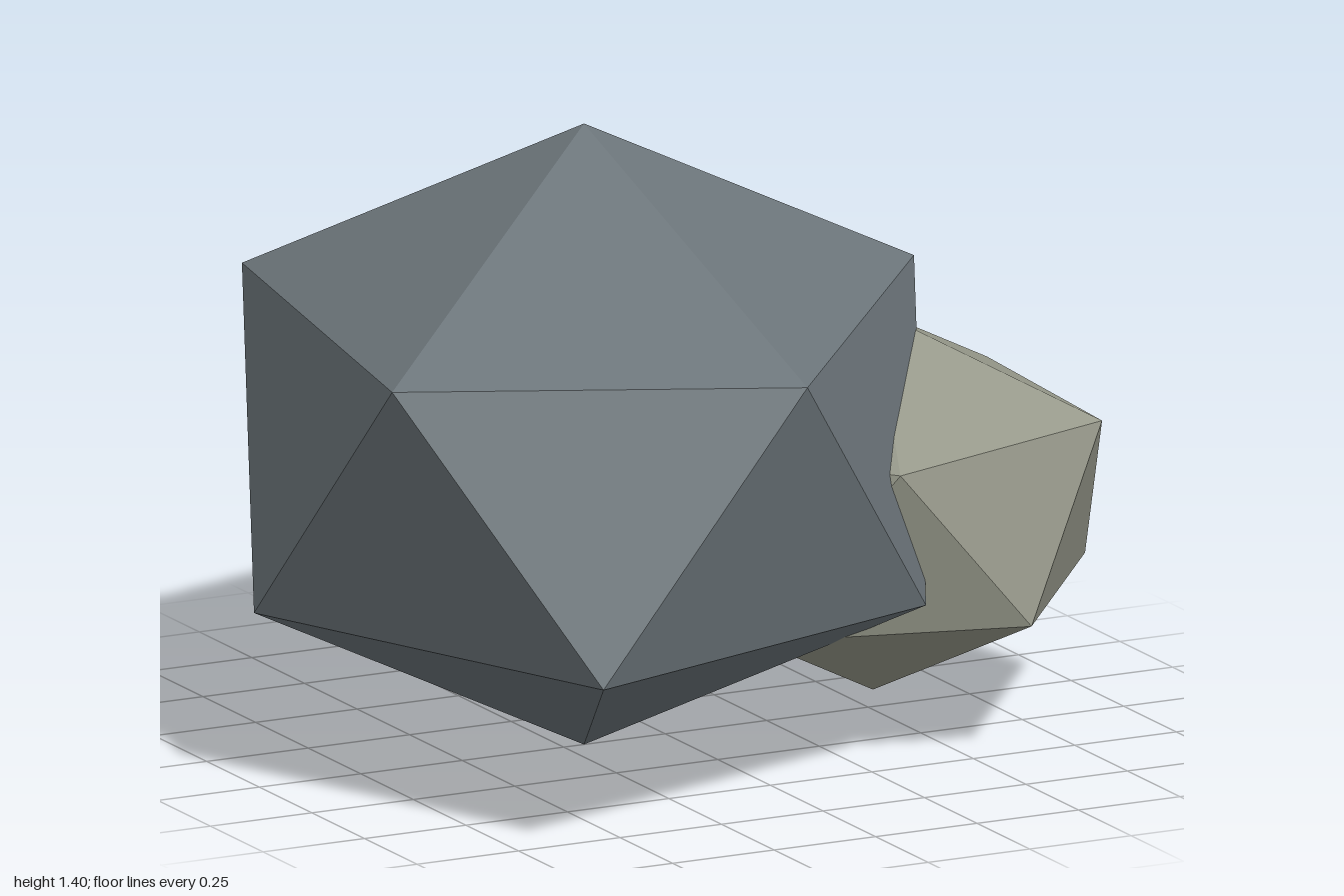
import * as THREE from 'three';

// Twenty-sided stone standing on one corner. The upper ring is a pentagon
// spanned by the horizontal axes u and v ([x, z]); the lower ring mirrors it
// through the centre.
function stone(name, centre, halfHeight, u, v, material) {
  const ringY = halfHeight / Math.sqrt(5);
  const upper = [], lower = [];
  for (let k = 0; k < 5; k++) {
    const t = (k * Math.PI * 2) / 5;
    const c = Math.cos(t), s = Math.sin(t);
    upper.push(new THREE.Vector3(u[0] * c + v[0] * s, ringY, u[1] * c + v[1] * s));
  }
  for (let k = 0; k < 5; k++) lower.push(upper[(k + 3) % 5].clone().negate());
  const top = new THREE.Vector3(0, halfHeight, 0);
  const bottom = new THREE.Vector3(0, -halfHeight, 0);

  const corners = [];
  for (let k = 0; k < 5; k++) {
    const n = (k + 1) % 5;
    corners.push(
      top, upper[n], upper[k],          // cap
      upper[k], upper[n], lower[k],     // belt
      upper[n], lower[n], lower[k],
      bottom, lower[k], lower[n]        // base
    );
  }
  const geometry = new THREE.BufferGeometry().setFromPoints(corners);
  geometry.computeVertexNormals(); // unshared corners give flat facets
  const mesh = new THREE.Mesh(geometry, material);
  mesh.name = name;
  mesh.position.set(...centre);
  return mesh;
}

export function createModel() {
  const slate = new THREE.MeshStandardMaterial({ color: 0x6c757a, flatShading: true });
  slate.name = 'slateGrey';
  const sand = new THREE.MeshStandardMaterial({ color: 0x96988a, flatShading: true });
  sand.name = 'sandGrey';

  const group = new THREE.Group();
  group.name = 'rocks';
  group.add(
    stone('largeRock', [-0.2, 0.702, 0], 0.702, [0.8, 0.025], [-0.19, 0.974], slate),
    stone('smallRock', [0.46, 0.498, 0.1], 0.43, [0.451, -0.328], [0.295, 0.4], sand)
  );
  return group;
}
